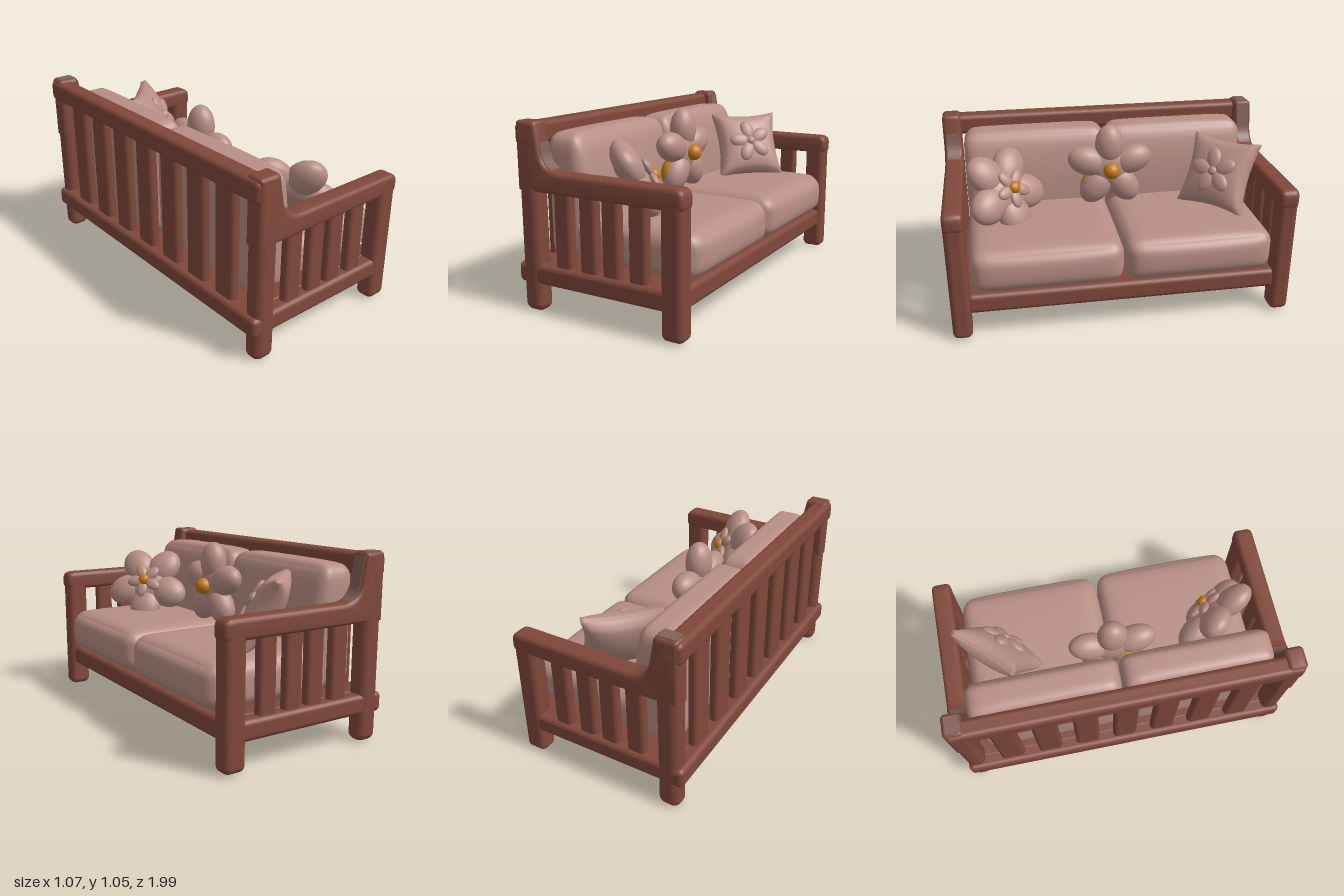
import * as THREE from 'three';
import { RoundedBoxGeometry } from 'three/addons/geometries/RoundedBoxGeometry.js';
import { mergeVertices, toCreasedNormals } from 'three/addons/utils/BufferGeometryUtils.js';

const material = (name, color) => {
  const m = new THREE.MeshStandardMaterial({ color });
  m.name = name;
  return m;
};

export function createModel() {
  const wood = material('wood', 0x80483b);
  const fabric = material('fabric', 0xb88e85);
  const orange = material('orange', 0xc27a18);
  const worn = material('fadedWood', 0x82605a);
  const model = new THREE.Group();
  model.name = 'sofa';

  const add = (parent, name, geometry, mat, x = 0, y = 0, z = 0) => {
    const mesh = new THREE.Mesh(geometry, mat);
    mesh.name = name;
    mesh.position.set(x, y, z);
    parent.add(mesh);
    return mesh;
  };

  // Rounded timber given by its extents
  const beam = (name, x0, x1, y0, y1, z0, z1, r = 0.03) =>
    add(model, name, new RoundedBoxGeometry(x1 - x0, y1 - y0, z1 - z0, 4, r), wood,
      (x0 + x1) / 2, (y0 + y1) / 2, (z0 + z1) / 2);

  // Reshape a dense box by a rule and give it smooth normals
  const warpBox = (sx, sy, sz, rule) => {
    let g = new THREE.BoxGeometry(2, 2, 2, sx, sy, sz);
    g.deleteAttribute('uv');
    g.deleteAttribute('normal');
    const p = g.attributes.position;
    const v = new THREE.Vector3();
    for (let i = 0; i < p.count; i++) {
      v.fromBufferAttribute(p, i);
      rule(v);
      p.setXYZ(i, v.x, v.y, v.z);
    }
    g = mergeVertices(g, 1e-5);
    g.computeVertexNormals();
    return g;
  };

  // Soft cushion: rounded box, swollen in the middle, optionally leaning at the top
  const cushion = (w, h, d, r, swell, lean = 0) => warpBox(18, 18, 18, (v) => {
    const half = new THREE.Vector3(w / 2 - swell.x, h / 2 - swell.y, d / 2 - swell.z);
    const q = new THREE.Vector3(
      Math.sin(v.x * Math.PI / 2), Math.sin(v.y * Math.PI / 2), Math.sin(v.z * Math.PI / 2));
    const p = q.clone().multiply(half);
    const limit = half.clone().subScalar(r);
    const inner = p.clone().clamp(limit.clone().negate(), limit);
    v.copy(p).sub(inner).setLength(r).add(inner);
    v.x += swell.x * q.x * (1 - q.y ** 2) * (1 - q.z ** 4);
    v.y += swell.y * q.y * (1 - q.x ** 4) * (1 - q.z ** 4);
    v.z += swell.z * q.z * (1 - q.x ** 2) * (1 - q.y ** 2);
    // The front face tapers back towards the top
    const t = Math.max(0, v.y / (h / 2));
    if (v.x > 0) v.x -= lean * t * t * (v.x / (w / 2));
  });

  // Arm with the swept joint into the back post
  const arm = new THREE.Shape();
  arm.moveTo(-0.51, 0.675);
  arm.lineTo(0.485, 0.675);
  arm.quadraticCurveTo(0.515, 0.68, 0.515, 0.71);
  arm.lineTo(0.515, 0.745);
  arm.quadraticCurveTo(0.512, 0.788, 0.465, 0.79);
  arm.lineTo(-0.23, 0.79);
  arm.bezierCurveTo(-0.31, 0.795, -0.345, 0.83, -0.355, 0.9);
  arm.lineTo(-0.378, 1.03);
  arm.quadraticCurveTo(-0.382, 1.05, -0.4, 1.05);
  arm.lineTo(-0.49, 1.05);
  arm.quadraticCurveTo(-0.51, 1.05, -0.51, 1.03);
  arm.closePath();
  const armGeometry = toCreasedNormals(new THREE.ExtrudeGeometry(arm, {
    depth: 0.06, bevelThickness: 0.026, bevelSize: 0.026, bevelOffset: -0.026,
    bevelSegments: 4, curveSegments: 10,
  }).translate(0, 0, -0.03), 0.7);

  // Thin faded face lying on the sweep, up to a given height
  const fadedFace = (top) => {
    const x = -0.352 - (top - 0.9) * 0.176;
    const s = new THREE.Shape();
    s.moveTo(-0.285, 0.80);
    s.quadraticCurveTo(-0.342, 0.83, -0.352, 0.9);
    s.lineTo(x, top);
    s.lineTo(x - 0.008, top);
    s.lineTo(-0.36, 0.9);
    s.quadraticCurveTo(-0.35, 0.83, -0.285, 0.792);
    return new THREE.ExtrudeGeometry(s, { depth: 0.076, bevelEnabled: false, curveSegments: 10 })
      .translate(0, 0, -0.038);
  };

  // Side frames
  for (const s of [1, -1]) {
    const z = s * 0.938;
    beam('backPost', -0.508, -0.378, 0, 0.99, z - 0.056, z + 0.056, 0.045);
    beam('frontLeg', 0.38, 0.51, 0.01, 0.76, z - 0.056, z + 0.056, 0.035);
    beam('sideRail', -0.48, 0.48, 0.16, 0.275, z - 0.052, z + 0.052);
    add(model, 'arm', armGeometry, wood, 0, 0, z);
    add(model, 'fadedJoint', fadedFace(s > 0 ? 0.94 : 1.03), worn, 0, 0, z);
    for (const x of [-0.237, -0.073, 0.07, 0.235])
      beam('sideSlat', x - 0.056, x + 0.056, 0.25, 0.7, z - 0.03, z + 0.03, 0.025);
  }
  add(model, 'fadedPostTop', new THREE.BoxGeometry(0.1, 0.006, 0.07), worn, -0.445, 1.05, -0.938);

  // Front, back and base
  beam('frontRail', 0.385, 0.49, 0.16, 0.278, -0.9, 0.9);
  beam('lowerBackRail', -0.535, -0.42, 0.16, 0.275, -0.993, 0.993);
  beam('upperBackRail', -0.527, -0.415, 0.915, 1.037, -0.985, 0.985);
  beam('basePanel', -0.46, 0.42, 0.172, 0.278, -0.91, 0.91, 0.01);
  for (let i = -3; i <= 3; i++)
    beam('backSlat', -0.5, -0.44, 0.25, 0.95, i * 0.236 - 0.074, i * 0.236 + 0.074, 0.025);

  // Seat and back cushions
  const seat = cushion(0.85, 0.276, 0.872, 0.08, new THREE.Vector3(0.022, 0.012, 0.005));
  const back = cushion(0.285, 0.705, 0.872, 0.075, new THREE.Vector3(0.01, 0.01, 0.005), 0.06);
  for (const s of [1, -1]) {
    add(model, 'seatCushion', seat, fabric, 0.108, 0.41, s * 0.436);
    add(model, 'backCushion', back, fabric, -0.292, 0.633, s * 0.436);
  }

  const ball = new THREE.SphereGeometry(1, 24, 16);
  const blob = (parent, name, mat, x, y, z, a, b, c, turn = 0) => {
    const m = add(parent, name, ball, mat, x, y, z);
    m.scale.set(a, b, c);
    m.rotation.z = turn;
  };
  // Five petals round a centre, in the local xy plane
  const flower = (parent, name, radius, width, depth, z, turn = 0) => {
    for (let i = 0; i < 5; i++) {
      const a = turn + i * Math.PI * 2 / 5;
      const d = radius * 0.53;
      blob(parent, name, fabric, -Math.sin(a) * d, Math.cos(a) * d, z, width, radius * 0.47, depth, a);
    }
  };
  // Pillow group whose local +z points along the given direction
  const pillow = (name, x, y, z, nx, ny, nz) => {
    const g = new THREE.Group();
    g.name = name;
    g.position.set(x, y, z);
    g.lookAt(x + nx, y + ny, z + nz);
    model.add(g);
    return g;
  };

  // Middle flower pillow
  const middle = pillow('middleFlowerPillow', -0.075, 0.775, 0, 1, 0, 0);
  flower(middle, 'petal', 0.266, 0.088, 0.077, 0);
  blob(middle, 'flowerBody', fabric, 0, 0, 0, 0.13, 0.13, 0.07);
  blob(middle, 'flowerCentre', orange, 0, 0, 0.075, 0.05, 0.05, 0.05);
  blob(middle, 'petalBacking', orange, -0.095, -0.11, -0.018, 0.078, 0.1, 0.066, Math.PI * 0.8);

  // Left flower pillow with a small raised blossom
  const left = pillow('leftFlowerPillow', 0.03, 0.705, 0.645, 0.66, 0.46, -0.56);
  flower(left, 'petal', 0.28, 0.105, 0.075, 0, 0.63);
  blob(left, 'flowerBody', fabric, 0, 0, 0, 0.15, 0.15, 0.075);
  flower(left, 'smallPetal', 0.12, 0.036, 0.022, 0.085, 0.5);
  blob(left, 'flowerCentre', orange, 0, 0, 0.1, 0.036, 0.036, 0.03);

  // Right square pillow with softly pinched corners and a raised blossom
  const right = pillow('rightSquarePillow', 0.04, 0.73, -0.66, 0.66, 0.5, 0.66);
  const square = warpBox(20, 20, 4, (v) => {
    const { x, y } = v;
    const fill = Math.max(0, (1 - x * x) * (1 - y * y));
    v.set(x * 0.218 * (1 - 0.12 * (1 - y * y)), y * 0.225 * (1 - 0.12 * (1 - x * x)),
      v.z * (0.018 + 0.078 * Math.pow(fill, 0.45)));
  });
  add(right, 'squareCushion', square, fabric);
  flower(right, 'smallPetal', 0.145, 0.046, 0.025, 0.082, 0.2);
  blob(right, 'blossomCentre', fabric, 0, 0, 0.088, 0.03, 0.03, 0.025);

  return model;
}
